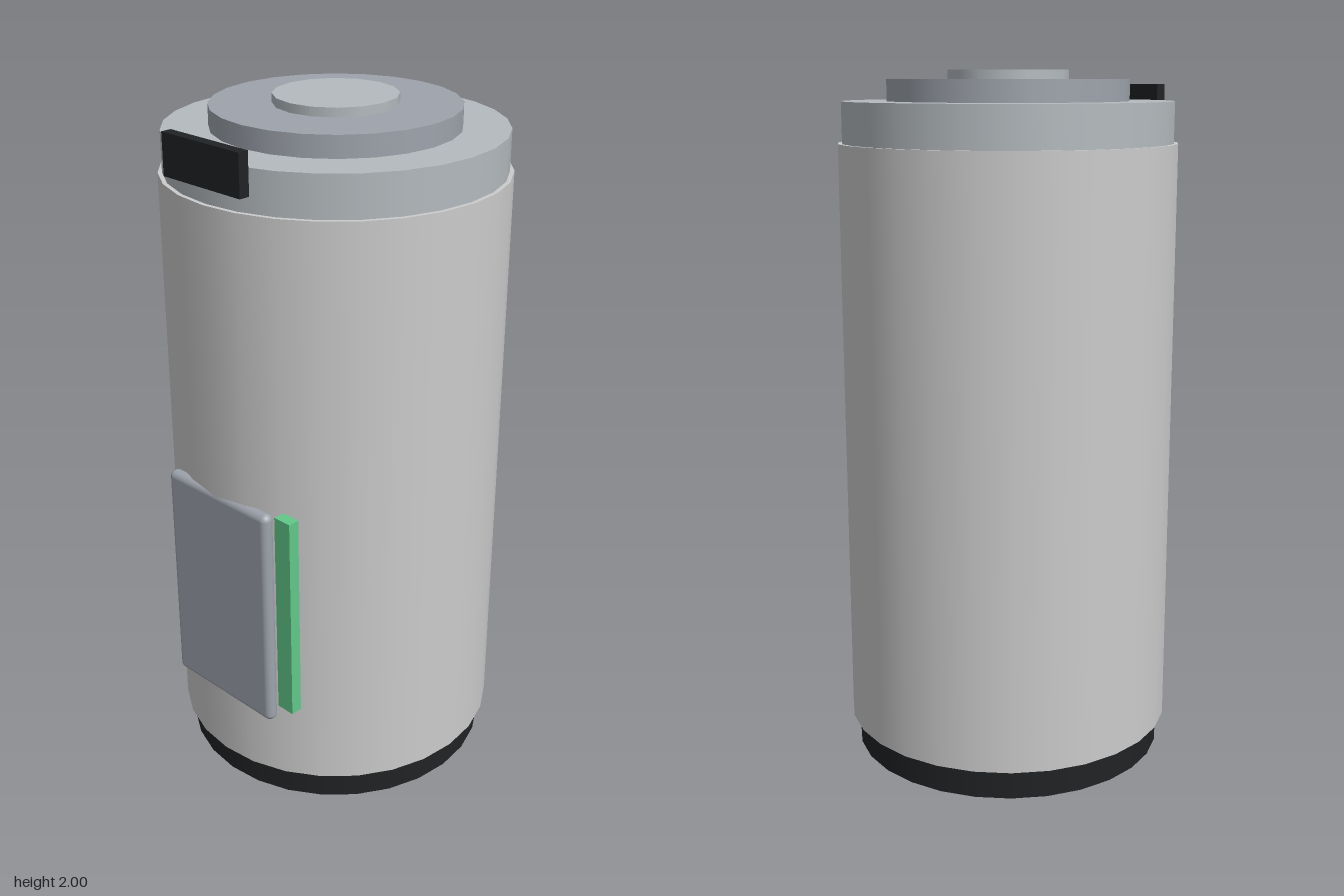
import * as THREE from 'three';
import { RoundedBoxGeometry } from 'three/addons/geometries/RoundedBoxGeometry.js';

const mat = (color) => new THREE.MeshStandardMaterial({ color });

export function createModel() {
  const group = new THREE.Group();
  const shell = mat(0xcccccc);
  const cap = mat(0xb4babe);
  const steel = mat(0x9ea3ac);
  const black = mat(0x202224);
  const green = mat(0x62c888);

  function add(name, geometry, material, x, y, z) {
    const mesh = new THREE.Mesh(geometry, material);
    mesh.name = name;
    mesh.position.set(x, y, z);
    group.add(mesh);
  }

  // Stacked round sections: name, radius, bottom, top, sides, material
  const sections = [
    ['base', 0.46, 0, 0.1, 28, black],
    ['body', 0.482, 0.09, 1.8, 28, shell],
    ['topCap', 0.47, 1.79, 1.915, 28, cap],
    ['topRing', 0.342, 1.905, 1.975, 24, steel],
    ['topButton', 0.171, 1.965, 2, 16, cap],
  ];
  for (const [name, radius, bottom, top, sides, material] of sections) {
    const geometry = new THREE.CylinderGeometry(radius, radius, top - bottom, sides);
    add(name, geometry, material, 0, (bottom + top) / 2, 0);
  }

  // Softly rounded front panel, partly sunk into the body
  add('frontPanel', new RoundedBoxGeometry(0.4, 0.685, 0.04, 4, 0.02), steel, 0, 0.633, 0.4635);

  // Indicator strip beside the panel
  add('indicatorStrip', new THREE.BoxGeometry(0.057, 0.625, 0.034), green, 0.2415, 0.6625, 0.443);

  // Dark block at the front of the cap
  add('capLatch', new THREE.BoxGeometry(0.285, 0.115, 0.031), black, 0, 1.9025, 0.468);

  return group;
}
